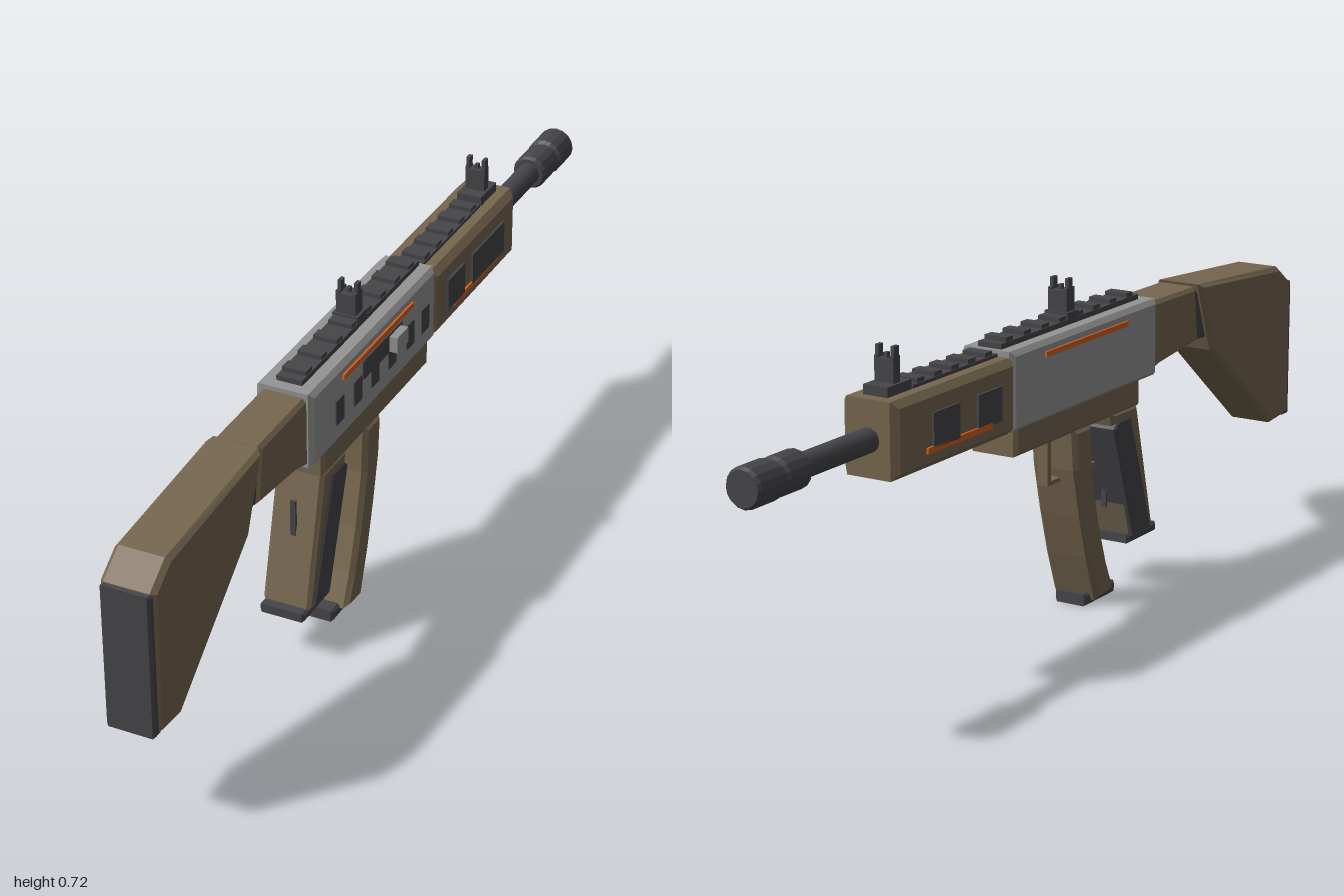
import * as THREE from 'three';

const mat = (name, color, extra) => {
  const m = new THREE.MeshStandardMaterial({ color, ...extra });
  m.name = name;
  return m;
};

export function createModel() {
  const khaki = mat('khaki polymer', 0x76674f);
  const dark = mat('dark metal', 0x464549);
  const grey = mat('grey metal', 0x949494);
  const orange = mat('orange accent', 0xd4601e);

  const model = new THREE.Group();
  model.name = 'rifle';
  // everything but the charging handle is symmetric about this plane
  const body = new THREE.Group();
  body.name = 'rifleBody';
  body.position.x = -0.008;
  model.add(body);

  const add = (name, geo, material) => {
    const m = new THREE.Mesh(geo, material);
    m.name = name;
    body.add(m);
    return m;
  };

  // box from its ranges in x, y and z
  const box = (name, material, x0, x1, y0, y1, z0, z1) => {
    const m = add(name, new THREE.BoxGeometry(x1 - x0, y1 - y0, Math.abs(z1 - z0)), material);
    m.position.set((x0 + x1) / 2, (y0 + y1) / 2, (z0 + z1) / 2);
    return m;
  };

  // side profile of [z, y] points, given width and chamfered edges
  const slab = (name, material, points, width, bevel = 0.008) => {
    const shape = new THREE.Shape(points.map(([z, y]) => new THREE.Vector2(-z, y)));
    const geo = new THREE.ExtrudeGeometry(shape, {
      depth: width - 2 * bevel, bevelEnabled: bevel > 0, bevelSegments: 1,
      bevelSize: bevel, bevelThickness: bevel, bevelOffset: -bevel, steps: 1,
    });
    geo.translate(0, 0, -(width - 2 * bevel) / 2);
    geo.rotateY(Math.PI / 2);
    return add(name, geo, material);
  };
  const rect = (z0, z1, y0, y1) => [[z0, y0], [z1, y0], [z1, y1], [z0, y1]];

  // thin plate on one or both flanks (side is +1 or -1)
  const plate = (name, material, side, half, z0, z1, y0, y1, t = 0.005) =>
    box(name, material, side * half - t, side * half + t, y0, y1, z0, z1);

  // stock
  slab('stock', khaki, [[0.99, 0.232], [0.91, 0.225], [0.625, 0.455], [0.567, 0.614],
    [0.93, 0.588], [0.99, 0.545]], 0.115, 0.01);
  slab('buttPlate', dark, rect(1, 0.975, 0.228, 0.543), 0.104, 0.005);
  slab('stockHinge', dark, [[0.625, 0.485], [0.55, 0.49], [0.54, 0.6], [0.585, 0.6]], 0.085, 0.004);
  slab('stockNeck', khaki, [[0.575, 0.488], [0.41, 0.47], [0.36, 0.455], [0.36, 0.612],
    [0.56, 0.61]], 0.098, 0.008);

  // receivers and handguard
  slab('upperReceiver', grey, rect(0.37, -0.2, 0.455, 0.622), 0.125, 0.01);
  slab('lowerReceiver', khaki, rect(0.31, -0.18, 0.4, 0.47), 0.112, 0.008);
  slab('handguard', khaki, rect(-0.19, -0.61, 0.455, 0.61), 0.128, 0.014);

  // top rails with cross ridges
  const rail = (name, z0, z1, y, count) => {
    box(name, dark, -0.028, 0.028, y - 0.01, y + 0.011, z0, z1);
    const step = (z1 - z0) / count;
    for (let i = 0; i < count; i++) {
      const z = z0 + step * (i + 0.5);
      box(name + 'Ridge', dark, -0.026, 0.026, y + 0.01, y + 0.02, z - 0.013, z + 0.013);
    }
  };
  rail('receiverRail', 0.345, -0.19, 0.622, 8);
  rail('handguardRail', -0.205, -0.5, 0.606, 5);

  // sights: base, centre block, thin pin and two ears
  const sight = (name, z, y0, y1, baseHalf, thick) => {
    box(name + 'Base', dark, -0.028, 0.028, y0, y0 + 0.025, z - baseHalf, z + baseHalf);
    box(name + 'Block', dark, -0.016, 0.016, y0 + 0.02, y1 - 0.025, z - thick, z + thick);
    box(name + 'Pin', dark, -0.004, 0.004, y1 - 0.03, y1 - 0.014, z - 0.005, z + 0.005);
    for (const s of [-1, 1]) {
      const x = s * 0.018;
      box(name + 'Ear', dark, x - 0.004, x + 0.004, y0 + 0.02, y1 - 0.02, z - thick, z + thick);
      box(name + 'EarTip', dark, x - 0.004, x + 0.004, y1 - 0.03, y1, z - 0.008, z + 0.008);
    }
  };
  sight('rearSight', 0.08, 0.622, 0.716, 0.02, 0.016);
  sight('frontSight', -0.545, 0.605, 0.702, 0.04, 0.011);

  // barrel and muzzle device
  const tube = (name, r, z0, z1, seg) => {
    const m = add(name, new THREE.CylinderGeometry(r, r, z0 - z1, seg), dark);
    m.rotation.x = Math.PI / 2;
    m.position.set(0, 0.53, (z0 + z1) / 2);
  };
  tube('barrel', 0.025, -0.6, -0.95, 20);
  const muzzle = [[0, -0.835], [0.034, -0.835], [0.039, -0.842], [0.039, -0.902], [0.034, -0.91],
    [0.034, -0.92], [0.041, -0.926], [0.041, -0.993], [0.036, -1], [0, -1]];
  const muzzleGeo = new THREE.LatheGeometry(muzzle.map(([r, z]) => new THREE.Vector2(r, -z)), 16);
  const muzzleMesh = add('muzzleDevice', muzzleGeo.toNonIndexed(), dark);
  muzzleMesh.geometry.computeVertexNormals();
  // the lathe profile runs upward, so tip it toward -z
  muzzleMesh.rotation.x = -Math.PI / 2;
  muzzleMesh.position.y = 0.53;

  // pistol grip with dark side panels
  slab('grip', khaki, [[0.375, 0.115], [0.285, 0.115], [0.2, 0.405], [0.305, 0.405]], 0.106, 0.008);
  slab('gripSidePanels', dark, [[0.36, 0.118], [0.287, 0.118], [0.203, 0.37], [0.218, 0.385],
    [0.272, 0.385]], 0.114, 0.004);
  slab('gripBase', dark, rect(0.394, 0.274, 0.1, 0.12), 0.1, 0.005);

  // curved magazine
  slab('magazine', khaki, [[0.21, 0.018], [0.14, 0.01], [0.105, 0.11], [0.077, 0.21],
    [0.053, 0.315], [0.045, 0.405], [0.115, 0.405], [0.122, 0.3], [0.15, 0.18], [0.18, 0.09]], 0.112, 0.01);
  slab('magazineBase', dark, rect(0.24, 0.118, 0, 0.026), 0.076, 0.005);

  // trigger guard, catch post and trigger slivers
  box('triggerGuard', khaki, -0.012, 0.012, 0.287, 0.296, 0.01, 0.2);
  box('triggerGuardPost', khaki, -0.012, 0.012, 0.29, 0.41, 0.008, 0.022);
  box('trigger', dark, -0.006, 0.006, 0.18, 0.3, 0.253, 0.259);
  box('gripBackPin', dark, -0.006, 0.006, 0.235, 0.345, 0.333, 0.339);

  // accents found on both flanks
  for (const s of [-1, 1]) {
    plate('receiverStripe', orange, s, 0.062, 0.24, -0.083, 0.589, 0.6);
    plate('handguardStripe', orange, s, 0.064, -0.285, -0.51, 0.488, 0.5);
    plate('handguardVent', dark, s, 0.064, -0.25, -0.335, 0.495, 0.566);
  }
  plate('wideVent', dark, 1, 0.064, -0.375, -0.54, 0.495, 0.566);
  plate('narrowVent', dark, -1, 0.064, -0.4, -0.49, 0.495, 0.566);

  // ejection port, receiver slots and charging handle
  plate('ejectionPort', dark, 1, 0.0615, 0.15, -0.03, 0.54, 0.582, 0.004);
  for (const z of [0.253, 0.173, 0.093, 0.013, -0.072, -0.145])
    plate('receiverSlot', dark, 1, 0.061, z + 0.018, z - 0.018, 0.5, 0.555, 0.004);
  box('chargingHandle', grey, 0.055, 0.083, 0.542, 0.577, -0.022, 0.03);

  return model;
}
